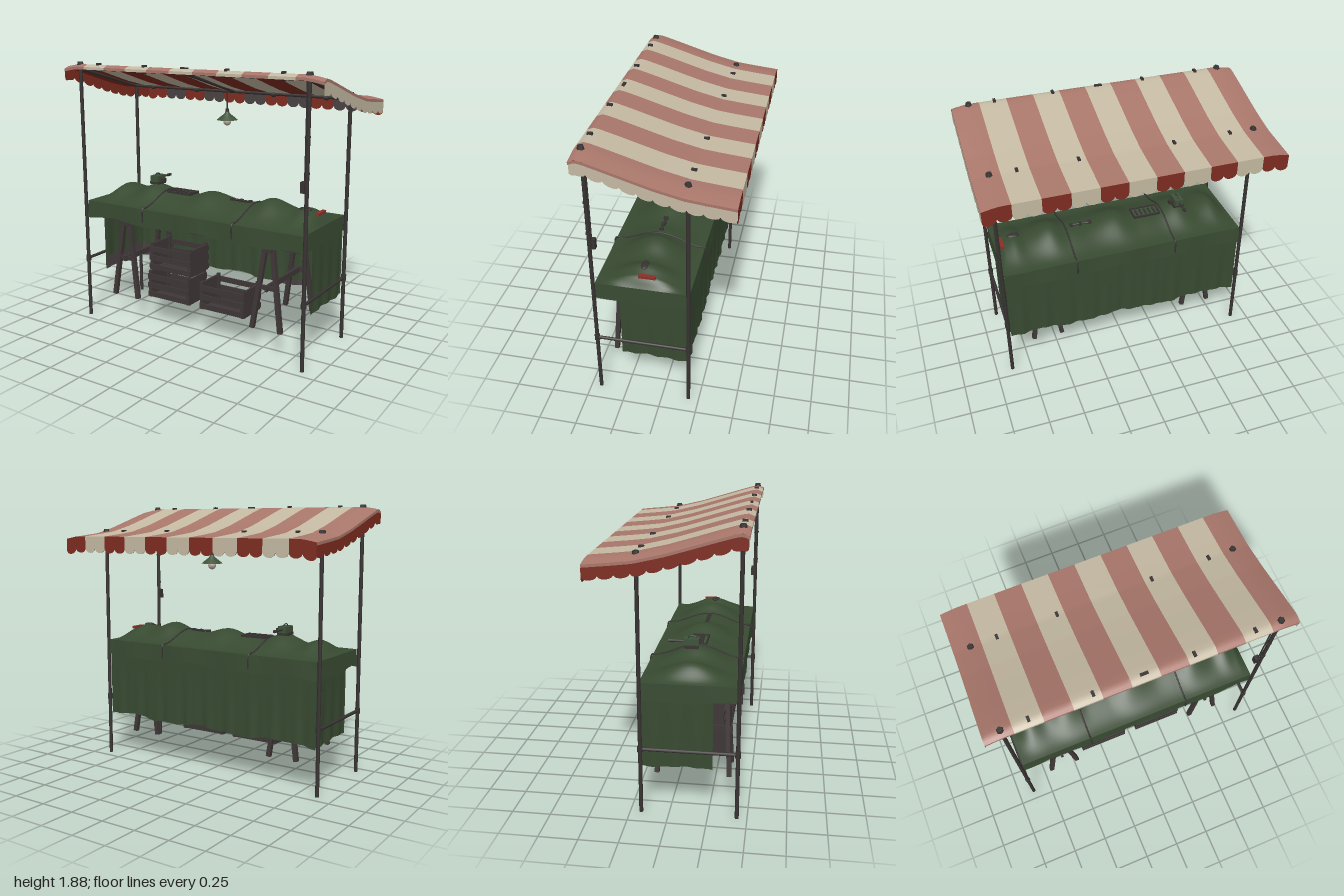
import * as THREE from 'three';

const mat = (name, color, side = THREE.FrontSide) => {
  const m = new THREE.MeshStandardMaterial({ color, side });
  m.name = name;
  return m;
};

export function createModel() {
  const root = new THREE.Group();
  root.name = 'marketStall';
  const D = THREE.DoubleSide;
  const pink = mat('fadedRedCanvas', 0xa8766a, D);
  const cream = mat('creamCanvas', 0xc4b9a2, D);
  const red = mat('deepRedCanvas', 0x7e2c20, D);
  const lining = mat('greyLining', 0x4a4244, D);
  const green = mat('greenCloth', 0x384a31, D);
  const metal = mat('darkMetal', 0x383333);
  const wood = mat('darkWood', 0x3f3737);
  const olive = mat('oliveMetal', 0x3d5238, D);
  const glass = mat('bulbGlass', 0xb3a698);
  const redTool = mat('redTool', 0x8c2f28);

  // ---- helpers ----
  const V = (p) => new THREE.Vector3(...p);
  function add(name, geo, m, pos, parent = root) {
    const mesh = new THREE.Mesh(geo, m);
    mesh.name = name;
    if (pos) mesh.position.set(...pos);
    parent.add(mesh);
    return mesh;
  }
  const box = (name, size, pos, m, parent) => add(name, new THREE.BoxGeometry(...size), m, pos, parent);
  function between(name, geo, p, q, m, parent) {
    const a = V(p), b = V(q);
    const mesh = add(name, geo, m, a.clone().add(b).multiplyScalar(0.5).toArray(), parent);
    mesh.quaternion.setFromUnitVectors(new THREE.Vector3(0, 1, 0), b.sub(a).normalize());
    return mesh;
  }
  const rod = (name, p, q, r, m = metal, parent) =>
    between(name, new THREE.CylinderGeometry(r, r, V(p).distanceTo(V(q)), 10), p, q, m, parent);
  const beam = (name, p, q, w, m = wood, parent) =>
    between(name, new THREE.BoxGeometry(w, V(p).distanceTo(V(q)), w), p, q, m, parent);
  // Surface from f(u, v); the front faces along du x dv
  function sheet(name, f, nu, nv, m, parent = root, flip = false) {
    const pos = [], idx = [], w = nu + 1;
    for (let j = 0; j <= nv; j++) for (let i = 0; i <= nu; i++) pos.push(...f(i / nu, j / nv));
    for (let j = 0; j < nv; j++) for (let i = 0; i < nu; i++) {
      const a = j * w + i, b = a + 1, c = b + w, d = a + w;
      idx.push(...(flip ? [a, c, b, a, d, c] : [a, b, c, a, c, d]));
    }
    const g = new THREE.BufferGeometry();
    g.setAttribute('position', new THREE.Float32BufferAttribute(pos, 3));
    g.setIndex(idx);
    g.computeVertexNormals();
    return add(name, g, m, null, parent);
  }
  // Smooth interpolation through [x, y] points sorted by x
  function through(pts, x, ease = true) {
    let i = 0;
    while (i < pts.length - 2 && x > pts[i + 1][0]) i++;
    const [a, b] = [pts[i], pts[i + 1]];
    let t = Math.min(1, Math.max(0, (x - a[0]) / (b[0] - a[0])));
    if (ease) t = t * t * (3 - 2 * t);
    return a[1] + (b[1] - a[1]) * t;
  }
  const mix = (a, b, t) => a + (b - a) * t;

  // ---- canopy: eleven stripes, pale on top and deep red below ----
  const canopy = new THREE.Group();
  canopy.name = 'canopy';
  root.add(canopy);
  const slope = [[-0.48, 1.662], [-0.3, 1.68], [-0.18, 1.694], [0, 1.737], [0.13, 1.776],
    [0.3, 1.828], [0.4, 1.857], [0.44, 1.864], [0.48, 1.848]];
  const roofY = (x, z) => through(slope, z, false) - 0.02 * Math.max(0, (Math.abs(x) - 0.88) / 0.12) ** 1.3;
  const W = 0.997, ZB = -0.48, ZF = 0.48, T = 0.018, sw = (2 * W) / 11;
  const scallop = (s) => 0.03 * (1 - Math.sqrt(Math.abs(Math.sin(Math.PI * s))));
  for (let k = 0; k < 11; k++) {
    const x0 = -W + k * sw, odd = k % 2;
    const X = (u) => x0 + u * sw;
    sheet('canopyTopStripe', (u, v) => [X(u), roofY(X(u), mix(ZF, ZB, v)), mix(ZF, ZB, v)], 6, 48, odd ? cream : pink, canopy);
    sheet('canopyUnderStripe', (u, v) => [X(u), roofY(X(u), mix(ZF, ZB, v)) - T, mix(ZF, ZB, v)], 6, 48, odd ? cream : red, canopy, true);
    sheet('canopyFrontEdge', (u, v) => [X(u), roofY(X(u), ZF) - T * (1 - v), ZF], 6, 1, odd ? cream : pink, canopy);
    // back valance with two scallops per stripe
    const drop = (off) => (u, v) => [X(u), roofY(X(u), ZB) - v * (0.115 - scallop(u * 2)), ZB + off];
    sheet('backValance', drop(0), 20, 3, odd ? cream : red, canopy);
    sheet('backValanceLining', drop(0.004), 20, 3, odd ? lining : red, canopy, true);
  }
  for (const s of [-1, 1]) {
    sheet('canopySideEdge', (u, v) => {
      const z = mix(ZF, ZB, u);
      return [s * W, roofY(W, z) - T * v, z];
    }, 40, 1, pink, canopy, s > 0);
    sheet('sideValance', (u, v) => {
      const z = mix(0.475, ZB, u);
      return [s * W, roofY(W, z) - T - v * (0.078 - 0.7 * scallop(u * 10)), z];
    }, 100, 3, s > 0 ? cream : red, canopy, s > 0);
  }

  // ---- pole frame ----
  const PX = 0.885, PF = 0.435, PB = -0.18;
  for (const s of [-1, 1]) {
    rod('frontPost', [s * PX, 0, PF], [s * PX, 1.85, PF], 0.013);
    rod('backPost', [s * PX, 0, PB], [s * PX, 1.68, PB], 0.013);
    rod('sideRail', [s * PX, 0.445, PF], [s * PX, 0.445, PB], 0.011);
    rod('roofSideBar', [s * PX, 1.832, PF], [s * PX, 1.665, PB], 0.011);
    for (const z of [PF, PB]) {
      rod('railCollar', [s * PX, 0.425, z], [s * PX, 0.465, z], 0.018);
      const y = roofY(PX, z);
      add('postCap', new THREE.CylinderGeometry(0.018, 0.024, 0.022, 6), metal, [s * PX, y + 0.006, z]);
      for (const x of [0.32, 0.715]) {
        box('canopyClip', [0.018, 0.016, 0.034], [s * x, roofY(x, z) + 0.004, z], metal);
        rod('barClamp', [s * x - 0.012, y - 0.03, z], [s * x + 0.012, y - 0.03, z], 0.016);
      }
    }
  }
  rod('frontCrossbar', [-PX, 1.835, PF], [PX, 1.835, PF], 0.011);
  rod('backCrossbar', [-PX, 1.668, PB], [PX, 1.668, PB], 0.011);
  rod('middleRafter', [0, 1.835, PF], [0, 1.668, PB], 0.011);
  box('frontClip', [0.052, 0.012, 0.018], [0, roofY(0, PF) + 0.003, PF], metal);

  // ---- hanging lamp ----
  const LZ = -0.085;
  rod('lampCord', [0, 1.53, LZ], [0, 1.7, LZ], 0.004);
  rod('lampSocket', [0, 1.525, LZ], [0, 1.555, LZ], 0.014);
  const shade = [[0.013, 0.06], [0.018, 0.045], [0.05, 0.02], [0.074, 0]].map((p) => new THREE.Vector2(...p));
  add('lampShade', new THREE.LatheGeometry(shade, 20), olive, [0, 1.478, LZ]);
  add('lampBulb', new THREE.SphereGeometry(0.028, 16, 12), glass, [0, 1.465, LZ]);

  // ---- switch box and conduit on a front post ----
  box('switchBox', [0.032, 0.07, 0.034], [0.857, 1.19, 0.42], metal);
  rod('conduit', [0.866, 1.22, 0.425], [0.866, 1.83, 0.425], 0.005);
  for (const y of [1.28, 1.5, 1.72]) rod('conduitClamp', [0.882, y - 0.006, PF], [0.882, y + 0.006, PF], 0.018);

  // ---- table cloth over goods ----
  const cloth = new THREE.Group();
  cloth.name = 'tableCloth';
  root.add(cloth);
  const CX = 0.868, CF = 0.43, CB = -0.185;
  const humps = [[-0.87, 0], [-0.73, 0.092], [-0.62, 0.062], [-0.47, 0.115], [-0.3, 0.068], [-0.16, 0.07],
    [0, 0.115], [0.22, 0.068], [0.35, 0.08], [0.48, 0.128], [0.66, 0.075], [0.74, 0.098], [0.82, 0.07], [0.87, 0]];
  const tableY = (x, z) => {
    const t = (z - 0.1225) / 0.3075;
    return 0.885 + through(humps, x) * Math.cos(Math.min(1, Math.abs(t)) * Math.PI / 2) ** 2;
  };
  sheet('clothTop', (u, v) => {
    const x = mix(-CX, CX, u), z = mix(CF, CB, v);
    return [x, tableY(x, z), z];
  }, 90, 28, green, cloth);
  const hem = (a) => 0.768 + 0.009 * Math.sin(a * 9 + 1) + 0.005 * Math.sin(a * 17);
  for (const [z, s] of [[CF, 1], [CB, -1]]) {
    sheet('clothOverhang', (u, v) => {
      const x = mix(-CX, CX, u);
      return [x * (1 + 0.005 * v), mix(0.885, hem(x), v), z + s * v * (0.006 + 0.004 * Math.sin(x * 14))];
    }, 80, 4, green, cloth, s > 0);
  }
  for (const s of [-1, 1]) {
    sheet('clothSideOverhang', (u, v) => {
      const z = mix(CF, CB, u);
      return [s * (CX + 0.005 * v), mix(0.885, hem(z + s), v), z * (1 + 0.01 * v)];
    }, 30, 4, green, cloth, s > 0);
    // side curtain
    sheet('sideCurtain', (u, v) => {
      const z = mix(0.275, -0.18, u);
      return [s * (0.86 + 0.006 * v * Math.sin(z * 45)), mix(0.8, 0.32 + 0.006 * Math.sin(z * 14), v), z];
    }, 40, 4, green, cloth, s > 0);
    // grey lining at the lower inside corner
    const line = [[0.4, 0.33], [0.52, 0.355], [0.62, 0.40], [0.74, 0.41], [0.86, 0.422]];
    sheet('curtainLining', (u, v) => {
      const x = s * mix(0.4, 0.855, u), low = curtainLow(x);
      return [x, mix(low, Math.max(low, through(line, Math.abs(x))), v), -0.168 + foldZ(x)];
    }, 30, 2, lining, cloth, s < 0);
    sheet('sideCurtainLining', (u, v) => [s * 0.851, mix(0.327, 0.42, v), mix(0.265, -0.16, u)], 10, 1, lining, cloth);
  }
  function curtainLow(x) { return 0.322 + 0.011 * Math.sin(x * 10 + 1.2) + 0.005 * Math.sin(x * 23); }
  function foldZ(x) { return 0.005 * Math.sin(x * 38) + 0.003 * Math.sin(x * 71); }
  sheet('backCurtain', (u, v) => {
    const x = mix(-0.865, 0.865, u);
    return [x, mix(0.8, curtainLow(x), v), -0.178 + v * foldZ(x)];
  }, 160, 6, green, cloth);
  box('tableBoard', [1.68, 0.025, 0.56], [0, 0.775, 0.125], wood);

  // ---- straps over the cloth ----
  for (const x of [-0.365, 0.36]) {
    const pts = [V([x, 0.79, CF + 0.012])];
    for (let i = 0; i <= 16; i++) {
      const z = mix(CF + 0.006, CB - 0.006, i / 16);
      pts.push(V([x, tableY(x, z) + 0.003, z]));
    }
    pts.push(V([x, 0.79, CB - 0.012]));
    add('strap', new THREE.TubeGeometry(new THREE.CatmullRomCurve3(pts), 60, 0.006, 6), metal);
  }

  // ---- trestles ----
  for (const s of [-1, 1]) {
    for (const [zb, zt] of [[0.368, 0.34], [-0.108, -0.085]]) {
      beam('trestleLeg', [s * 0.69, 0.185, zb], [s * 0.608, 0.765, zt], 0.03);
      beam('trestleLeg', [s * 0.48, 0.185, zb], [s * 0.562, 0.765, zt], 0.03);
      box('trestleTie', [0.15, 0.03, 0.016], [s * 0.585, 0.475, mix(zb, zt, 0.5)], wood);
    }
    box('trestleStretcher', [0.018, 0.04, 0.5], [s * 0.585, 0.475, 0.13], wood);
    box('trestleTopRail', [0.07, 0.04, 0.5], [s * 0.585, 0.745, 0.13], wood);
  }

  // ---- slatted crates ----
  function crate(x, y, z) {
    const g = new THREE.Group();
    g.name = 'crate';
    g.position.set(x, y, z);
    root.add(g);
    const w = 0.355, d = 0.24, h = 0.19;
    for (const s of [-1, 1]) {
      box('crateEnd', [0.014, h, d - 0.02], [s * (w / 2 - 0.007), h / 2, 0], wood, g);
      for (const t of [-1, 1]) {
        box('crateCorner', [0.022, h + 0.012, 0.022], [s * (w / 2 - 0.016), (h + 0.012) / 2, t * (d / 2 - 0.018)], wood, g);
      }
      for (let i = 0; i < 3; i++) box('crateSlat', [w, 0.038, 0.01], [0, 0.026 + i * 0.066, s * (d / 2 - 0.005)], wood, g);
    }
    for (let i = 0; i < 4; i++) box('crateFloorSlat', [w - 0.02, 0.01, 0.046], [0, 0.006, -0.084 + i * 0.056], wood, g);
  }
  crate(-0.235, 0.203, 0.213);
  crate(-0.235, 0.405, 0.19);
  crate(0.213, 0.203, 0.213);

  // ---- goods lying on the cloth ----
  const grinder = new THREE.Group();
  grinder.name = 'handGrinder';
  grinder.position.set(-0.485, 1.0, 0.095);
  root.add(grinder);
  box('grinderBase', [0.08, 0.02, 0.09], [0, 0.005, 0], metal, grinder);
  box('grinderBody', [0.062, 0.045, 0.1], [0, 0.035, 0], olive, grinder);
  rod('grinderBarrel', [0, 0.035, -0.04], [0, 0.035, -0.15], 0.007, metal, grinder);
  rod('grinderTip', [0, 0.035, -0.12], [0, 0.035, -0.155], 0.011, metal, grinder);
  box('grinderKnob', [0.03, 0.028, 0.03], [0.05, 0.025, 0], metal, grinder);
  const loop = add('grinderHandle', new THREE.TorusGeometry(0.028, 0.005, 6, 12, Math.PI), metal, [0, 0.053, 0.005], grinder);
  loop.rotation.y = Math.PI / 2;
  loop.scale.y = 0.7;

  const trayY = tableY(-0.245, 0.12) + 0.012;
  box('trayFloor', [0.19, 0.006, 0.1], [-0.245, trayY - 0.004, 0.12], olive);
  for (const s of [-1, 1]) {
    box('trayRim', [0.2, 0.016, 0.01], [-0.245, trayY, 0.12 + s * 0.052], metal);
    box('trayEnd', [0.01, 0.016, 0.1], [-0.245 + s * 0.095, trayY, 0.12], metal);
  }
  for (let i = -2; i <= 2; i++) box('trayPart', [0.014, 0.012, 0.06], [-0.245 + i * 0.033, trayY, 0.12], metal);

  rod('wrenchShaft', [0.17, 0.967, 0.12], [0.32, 0.967, 0.13], 0.008);
  for (const x of [0.175, 0.245, 0.312]) box('wrenchJaw', [0.022, 0.016, 0.03], [x, 0.968, 0.125], metal);
  const pad = add('darkPouch', new THREE.SphereGeometry(0.045, 14, 8), metal, [0.735, 0.976, 0.13]);
  pad.scale.set(1, 0.28, 0.6);
  box('redToolHandle', [0.026, 0.018, 0.11], [0.825, 0.955, 0.095], redTool);

  return root;
}
